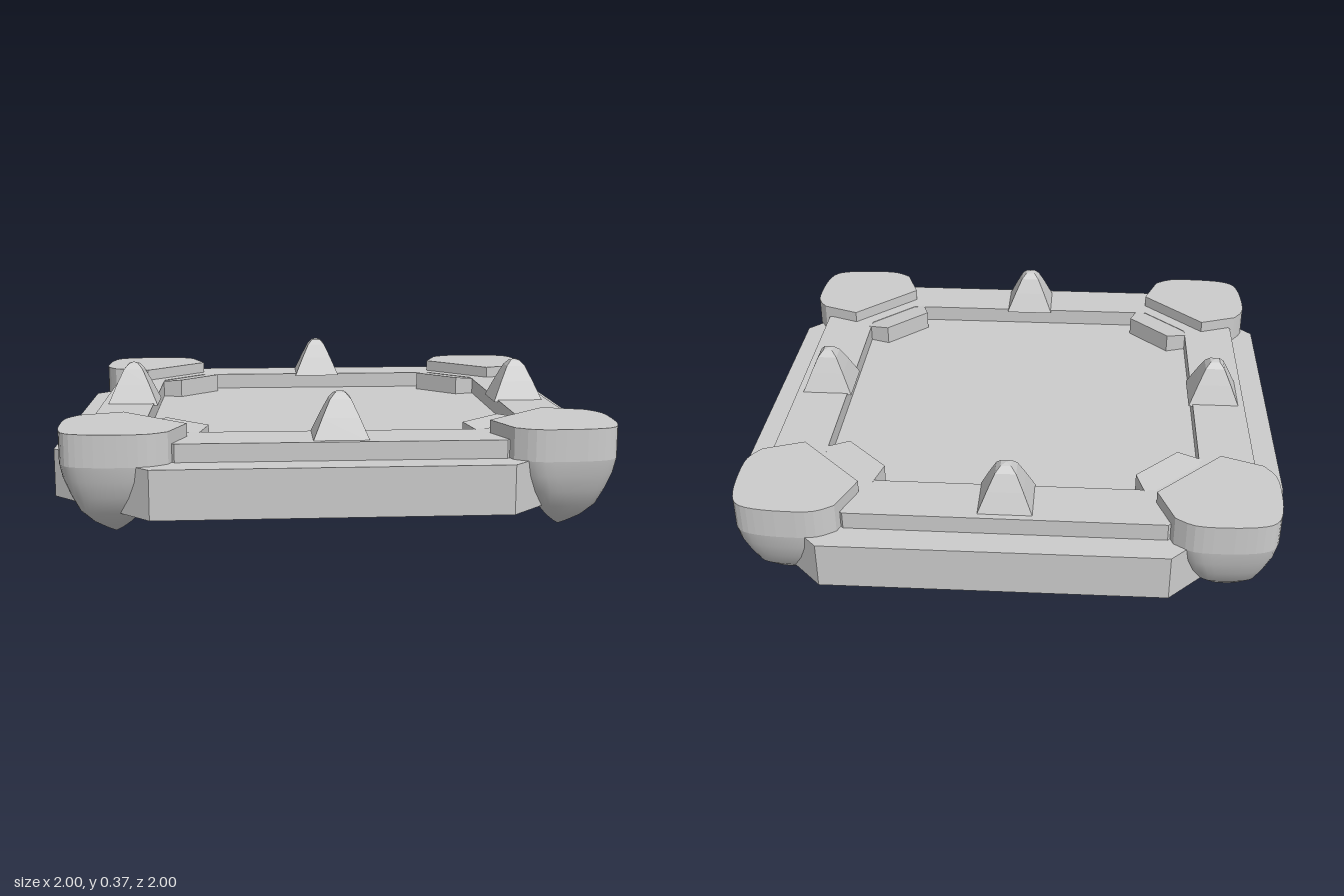
import * as THREE from 'three';

const grey = new THREE.MeshStandardMaterial({ color: 0xcccccc });
const thin = new THREE.MeshStandardMaterial({ color: 0xcccccc, side: THREE.DoubleSide });
const flat = new THREE.MeshStandardMaterial({ color: 0xcccccc, flatShading: true });

const points = (list) => list.map(([x, z]) => new THREE.Vector2(x, z));

// Eight-sided outline: a diamond with its four points cut off.
const diamond = (xMax, zSide, xSide, zMax) => points([
  [xMax, -zSide], [xMax, zSide], [xSide, zMax], [-xSide, zMax],
  [-xMax, zSide], [-xMax, -zSide], [-xSide, -zMax], [xSide, -zMax],
]);

// Plan outline (x, z) extruded from height y0 up to y1.
function slab(outline, y0, y1, hole) {
  const shape = new THREE.Shape(outline);
  if (hole) shape.holes.push(new THREE.Path(hole));
  return new THREE.ExtrudeGeometry(shape, { depth: y1 - y0, bevelEnabled: false })
    .rotateX(Math.PI / 2).translate(0, y1, 0);
}

function add(parent, name, geometry, material) {
  const mesh = new THREE.Mesh(geometry, material);
  mesh.name = name;
  parent.add(mesh);
  return mesh;
}

// Curved outer edge of a corner cap, from its right side round the tip to its left.
function capArc(width, root, tip) {
  const half = [[1, 0], [0.92, 0.3], [0.64, 0.6], [0.28, 0.89]];
  const all = [...half, [0, 1], ...half.slice().reverse().map(([x, z]) => [-x, z])];
  return new THREE.SplineCurve(points(all)).getPoints(24)
    .map((p) => new THREE.Vector2(p.x * width, root + p.y * (tip - root)));
}

// Open shell under the cap, drawn in to a low point: [y, half width, root z, tip z].
function capShell() {
  const levels = [
    [0.2, 0.18, 0.81, 1], [0.16, 0.168, 0.82, 0.99], [0.115, 0.142, 0.83, 0.97],
    [0.07, 0.105, 0.84, 0.945], [0.035, 0.062, 0.84, 0.905], [0.012, 0.025, 0.84, 0.865],
    [0, 0.001, 0.84, 0.841],
  ];
  const position = [];
  const index = [];
  levels.forEach(([y, w, root, tip], row) => {
    capArc(w, root, tip).forEach((p, i) => {
      position.push(p.x, y, p.y);
      if (row && i) {
        const a = row * 25 + i;
        index.push(a, a - 1, a - 26, a, a - 26, a - 25);
      }
    });
  });
  const g = new THREE.BufferGeometry();
  g.setAttribute('position', new THREE.Float32BufferAttribute(position, 3));
  g.setIndex(index);
  g.computeVertexNormals();
  return g;
}

// Wedge block inside a cap, its top falling gently outward.
function wedge() {
  const g = slab(points([[-0.085, 0.58], [0.085, 0.58], [0.165, 0.74], [-0.165, 0.74]]), 0.14, 0.258);
  const p = g.attributes.position;
  for (let i = 0; i < p.count; i++) {
    if (p.getY(i) > 0.2) p.setY(i, p.getY(i) - (p.getZ(i) - 0.58) * 0.12);
  }
  g.computeVertexNormals();
  return g;
}

export function createModel() {
  const model = new THREE.Group();
  model.name = 'tray';

  // Hollow base: side wall, floor and raised rail
  const outer = diamond(0.89, 0.195, 0.23, 0.85);
  const inner = outer.map((p) => p.clone().multiplyScalar(0.985));
  add(model, 'sideWall', slab(outer, 0.07, 0.2, inner), grey);
  add(model, 'floor', slab(outer, 0.19, 0.201), grey);
  add(model, 'rail', slab(diamond(0.79, 0.18, 0.18, 0.79), 0.2, 0.25,
    diamond(0.66, 0.09, 0.09, 0.66)), grey);

  // Four corners, each with cap, shell and wedge
  const capOutline = [...capArc(0.18, 0.81, 1), ...points([[-0.13, 0.7], [0.13, 0.7]])];
  const capTop = slab(capOutline, 0.2, 0.285);
  const shell = capShell();
  const block = wedge();
  // Four-sided studs with a rounded point, on the middle of each rail
  const stud = new THREE.LatheGeometry(points([
    [0.107, 0.245], [0.07, 0.305], [0.04, 0.35], [0.02, 0.366], [0, 0.37],
  ]), 4);

  for (let i = 0; i < 4; i++) {
    const corner = new THREE.Group();
    corner.name = 'corner' + (i + 1);
    corner.rotation.y = i * Math.PI / 2;
    add(corner, 'cap', capTop, grey);
    add(corner, 'capShell', shell, thin);
    add(corner, 'wedge', block, grey);
    add(corner, 'stud', stud, flat).position.set(0.42, 0, 0.42);
    model.add(corner);
  }
  return model;
}
